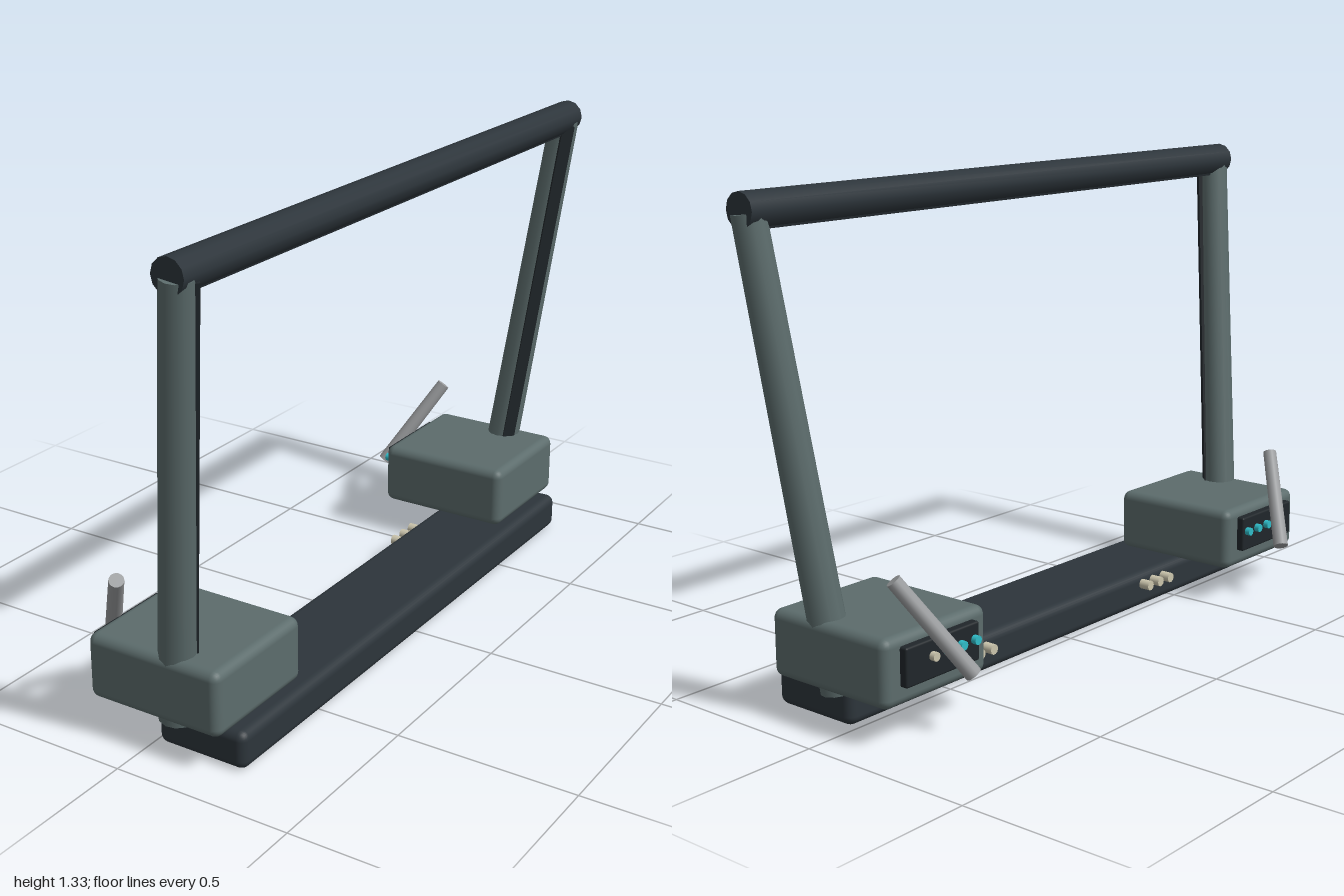
import * as THREE from 'three';
import { RoundedBoxGeometry } from 'three/addons/geometries/RoundedBoxGeometry.js';

const mat = (name, color) => {
  const m = new THREE.MeshStandardMaterial({ color });
  m.name = name;
  return m;
};

export function createModel() {
  const slate = mat('slate', 0x5c6c6c);
  const charcoal = mat('charcoal', 0x2d353b);
  const black = mat('black', 0x20262a);
  const grey = mat('grey', 0x9a9c9e);
  const cream = mat('cream', 0xcbc5ad);
  const cyan = mat('cyan', 0x2fbcc8);

  const model = new THREE.Group();
  model.name = 'gantryFrame';
  const V = (x, y, z) => new THREE.Vector3(x, y, z);

  const add = (name, geometry, material, x = 0, y = 0, z = 0) => {
    const mesh = new THREE.Mesh(geometry, material);
    mesh.name = name;
    mesh.position.set(x, y, z);
    model.add(mesh);
    return mesh;
  };
  const rounded = (name, material, [x0, x1], [y0, y1], [z0, z1], r) =>
    add(name, new RoundedBoxGeometry(x1 - x0, y1 - y0, z1 - z0, 3, r), material,
      (x0 + x1) / 2, (y0 + y1) / 2, (z0 + z1) / 2);

  // Cylinder running from a to b
  const rod = (name, material, a, b, ra, rb, sides) => {
    const d = b.clone().sub(a);
    const mesh = add(name, new THREE.CylinderGeometry(rb, ra, d.length(), sides), material);
    mesh.position.copy(a).add(b).multiplyScalar(0.5);
    mesh.quaternion.setFromUnitVectors(V(0, 1, 0), d.normalize());
    return mesh;
  };

  // Long base and top bar with its underside strip
  rounded('base', charcoal, [0.01, 0.275], [0, 0.105], [-0.852, 0.852], 0.025);
  rod('topBar', charcoal, V(0.195, 1.282, -0.985), V(0.195, 1.282, 0.985), 0.046, 0.046, 12);
  add('barStrip', new THREE.BoxGeometry(0.035, 0.014, 1.87), black, 0.195, 1.242, 0);

  for (const s of [-1, 1]) {
    // Control housing
    const zs = (a, b) => (s > 0 ? [a, b] : [-b, -a]);
    rounded('housing', slate, [-0.165, 0.235], [0.1, 0.28], zs(0.537, 0.902), 0.025);

    // Leaning post with a dark strip on its inner corner
    const foot = V(0.062, 0.085, s * 0.834);
    const head = V(0.198, 1.275, s * 0.955);
    rod('post', slate, foot, head, 0.05, 0.043, 12);
    const axis = head.clone().sub(foot);
    const length = axis.length();
    axis.normalize();
    const out = V(1, 0, -s);
    out.addScaledVector(axis, -out.dot(axis)).normalize();
    const side = axis.clone().cross(out);
    const strip = add('postStrip', new THREE.BoxGeometry(0.036, length - 0.02, 0.014), black);
    strip.quaternion.setFromRotationMatrix(new THREE.Matrix4().makeBasis(side, axis, out));
    strip.position.copy(foot).add(head).multiplyScalar(0.5).addScaledVector(out, 0.042);

    // Control panel and its lights
    rounded('panel', black, [-0.187, -0.155], [0.152, 0.255], zs(0.59, 0.85), 0.006);
    [0.61, 0.66, 0.71, 0.76].forEach((z, i) => {
      const light = add(i < 3 ? 'light' : 'button', new THREE.CylinderGeometry(0.012, 0.012, 0.024, 10),
        i < 3 ? cyan : cream, -0.19, 0.212, s * z);
      light.rotation.z = Math.PI / 2;
    });

    // Slanted lever
    rod('lever', grey, V(-0.257, 0.16, s * 0.69), V(-0.123, 0.405, s * 0.825), 0.022, 0.02, 14);

    // Knobs along the base
    for (const z of [0.35, 0.4, 0.45]) {
      const knob = add('knob', new THREE.CylinderGeometry(0.0145, 0.0145, 0.045, 10), cream, 0, 0.072, s * z);
      knob.rotation.z = Math.PI / 2;
    }
  }
  return model;
}
